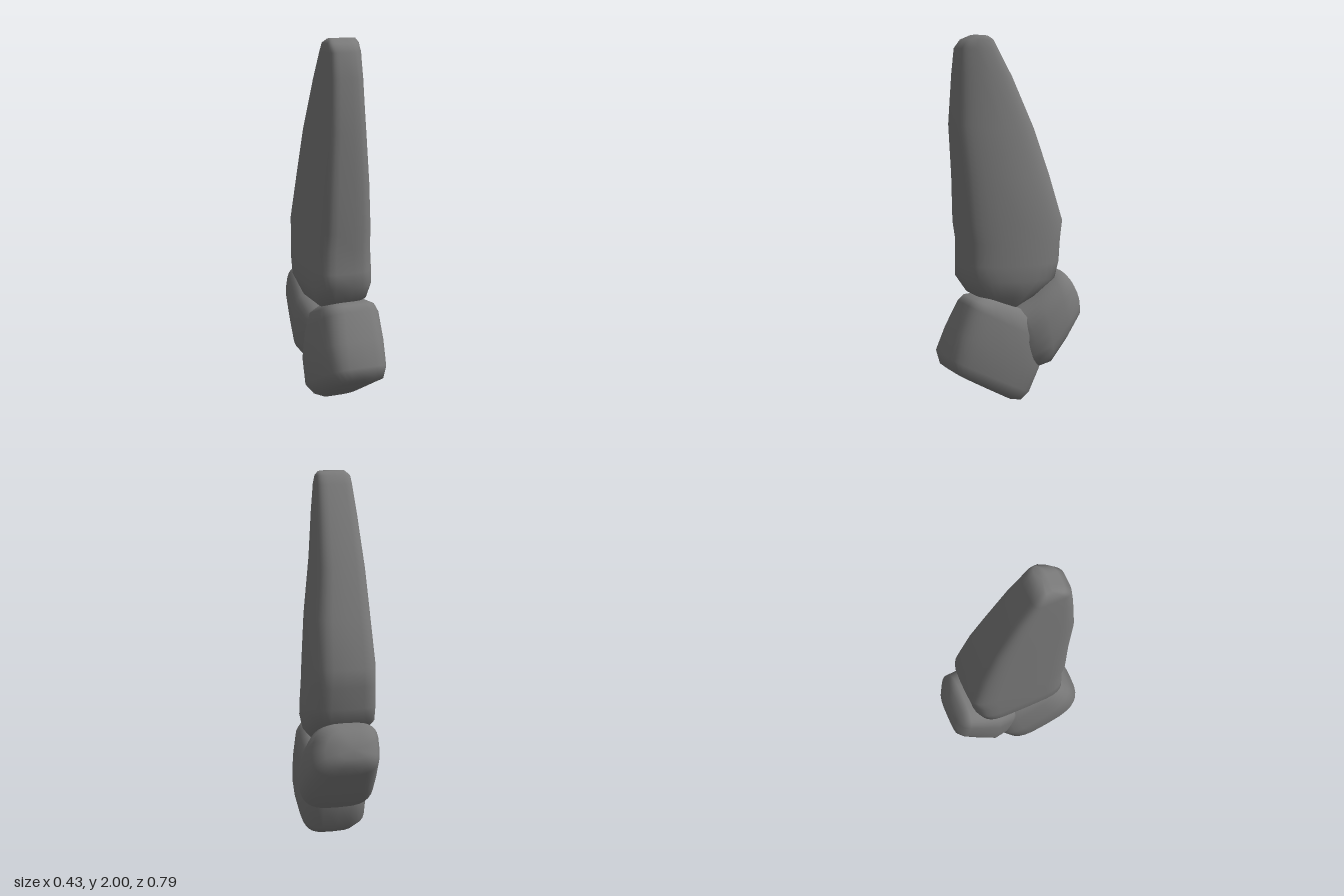
import * as THREE from 'three';

const SIDES = 32;

// Lofts rounded-box rings. Each section: [z1, y1, z2, y2, xMin, xMax],
// where (z1, y1) and (z2, y2) are the two ends of the ring in side profile.
// roundLeft and roundRight set the corner softness on the +x and -x sides;
// taper narrows the +x side towards the first end.
function loft(name, sections, roundLeft, roundRight, taper) {
  const positions = [], indices = [];
  const soften = (v, power) => Math.sign(v) * Math.abs(v) ** power;
  for (const [z1, y1, z2, y2, xMin, xMax] of sections) {
    const cx = (xMin + xMax) / 2, rx = (xMax - xMin) / 2;
    for (let i = 0; i < SIDES; i++) {
      const a = (i / SIDES) * Math.PI * 2;
      const power = Math.sin(a) > 0 ? roundLeft : roundRight;
      const u = soften(Math.cos(a), power), v = soften(Math.sin(a), power);
      const narrow = v > 0 ? 1 - taper * Math.max(0, u) : 1;
      positions.push(
        cx + v * rx * narrow,
        (y1 + y2) / 2 + (u * (y1 - y2)) / 2,
        (z1 + z2) / 2 + (u * (z1 - z2)) / 2
      );
    }
  }
  for (let s = 0; s < sections.length - 1; s++) {
    for (let i = 0; i < SIDES; i++) {
      const j = (i + 1) % SIDES;
      const a = s * SIDES + i, b = s * SIDES + j;
      indices.push(a, b, a + SIDES, b, b + SIDES, a + SIDES);
    }
  }
  // Close both ends with a fan
  const last = sections.length - 1;
  for (const s of [0, last]) {
    const [z1, y1, z2, y2, xMin, xMax] = sections[s];
    const centre = positions.length / 3;
    positions.push((xMin + xMax) / 2, (y1 + y2) / 2, (z1 + z2) / 2);
    for (let i = 0; i < SIDES; i++) {
      const a = s * SIDES + i, b = s * SIDES + ((i + 1) % SIDES);
      if (s === 0) indices.push(centre, b, a);
      else indices.push(centre, a, b);
    }
  }
  const geometry = new THREE.BufferGeometry();
  geometry.setAttribute('position', new THREE.Float32BufferAttribute(positions, 3));
  geometry.setIndex(indices);
  geometry.computeVertexNormals();
  const mesh = new THREE.Mesh(geometry, new THREE.MeshStandardMaterial({ color: 0x7a7a7a }));
  mesh.name = name;
  return mesh;
}

export function createModel() {
  const group = new THREE.Group();
  group.name = 'tooth';

  // Long tapering root, from the pointed base up to the rounded tip
  group.add(loft('root', [
    [0.06, 0.53, 0.0, 0.53, -0.1, 0.08],
    [0.21, 0.61, -0.12, 0.6, -0.185, 0.145],
    [0.27, 0.7, -0.24, 0.69, -0.212, 0.17],
    [0.27, 0.78, -0.265, 0.78, -0.212, 0.17],
    [0.268, 0.9, -0.275, 0.9, -0.208, 0.164],
    [0.285, 1.0, -0.29, 1.0, -0.204, 0.16],
    [0.292, 1.25, -0.215, 1.25, -0.191, 0.138],
    [0.308, 1.53, -0.135, 1.5, -0.178, 0.1],
    [0.29, 1.8, -0.01, 1.78, -0.16, 0.072],
    [0.275, 1.93, 0.07, 1.93, -0.15, 0.053],
    [0.24, 1.975, 0.095, 1.975, -0.143, 0.045],
    [0.18, 2.0, 0.13, 1.995, -0.12, 0.03],
  ], 0.56, 0.4, 0.35));

  // Front crown, a tilted rounded block
  group.add(loft('frontCrown', [
    [0.33, 0.19, 0.0, 0.005, -0.12, 0.08],
    [0.385, 0.23, -0.035, 0.015, -0.175, 0.15],
    [0.398, 0.3, -0.08, 0.055, -0.213, 0.168],
    [0.345, 0.43, -0.14, 0.19, -0.208, 0.175],
    [0.275, 0.57, -0.15, 0.34, -0.185, 0.17],
    [0.245, 0.6, -0.12, 0.46, -0.165, 0.15],
    [0.18, 0.61, -0.05, 0.52, -0.12, 0.1],
  ], 0.5, 0.6, 0.1));

  // Back cusp, leaning up and backwards
  group.add(loft('backCusp', [
    [0.04, 0.51, -0.03, 0.18, -0.14, 0.14],
    [-0.02, 0.54, -0.12, 0.19, -0.19, 0.19],
    [-0.12, 0.61, -0.18, 0.21, -0.21, 0.215],
    [-0.22, 0.69, -0.27, 0.32, -0.2, 0.205],
    [-0.285, 0.715, -0.365, 0.45, -0.187, 0.18],
    [-0.325, 0.685, -0.393, 0.5, -0.165, 0.115],
    [-0.36, 0.64, -0.393, 0.55, -0.11, 0.04],
  ], 0.62, 0.58, 0.18));

  return group;
}
